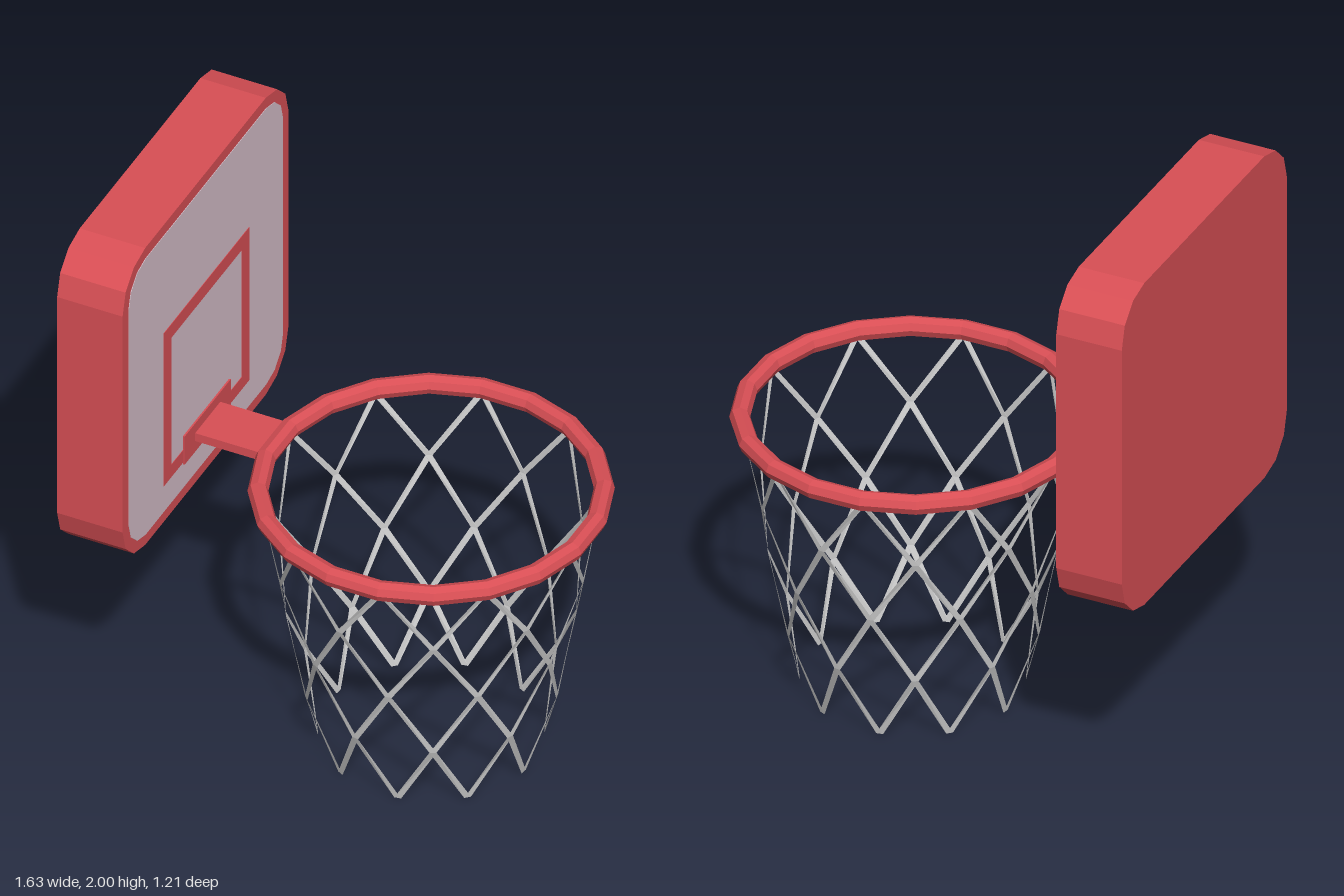
import * as THREE from 'three';

const red = new THREE.MeshStandardMaterial({ color: 0xd94f55, flatShading: true });
const glass = new THREE.MeshStandardMaterial({ color: 0xd6bfca, flatShading: true });
const cord = new THREE.MeshStandardMaterial({ color: 0xcccccc, flatShading: true, side: THREE.DoubleSide });

const HOOP_X = 0.23, HOOP_Y = 0.988;

// Rectangle centred on the origin with faceted round corners
function roundedRect(halfW, halfH, r, steps = 3) {
  const points = [];
  [[1, 1], [-1, 1], [-1, -1], [1, -1]].forEach(([sx, sy], corner) => {
    for (let i = 0; i <= steps; i++) {
      const a = (corner + i / steps) * Math.PI / 2;
      points.push(new THREE.Vector2(sx * (halfW - r) + r * Math.cos(a), sy * (halfH - r) + r * Math.sin(a)));
    }
  });
  return new THREE.Shape(points);
}

// Rectangle as a list of corners
function rect(halfW, y0, y1) {
  return [[-halfW, y0], [halfW, y0], [halfW, y1], [-halfW, y1]].map(p => new THREE.Vector2(...p));
}

// Upright slab facing +x, from x0 to x1
function slab(shape, x0, x1, y) {
  return new THREE.ExtrudeGeometry(shape, { depth: x1 - x0, bevelEnabled: false })
    .rotateY(Math.PI / 2).translate(x0, y, 0);
}

// Net: two mirrored families of flat strands winding down a tapered sleeve
function netGeometry() {
  const radii = [0.365, 0.425, 0.468, 0.513, 0.555];
  const strands = 10, step = Math.PI / strands, halfWidth = 0.0115;
  const pos = [], index = [];
  for (const dir of [1, -1]) {
    for (let s = 0; s < strands; s++) {
      const start = Math.PI / 20 + s * 2 * step;
      radii.forEach((r, k) => {
        const y = k * 0.972 / (radii.length - 1);
        for (const side of [-1, 1]) {
          const a = start + dir * k * step + side * halfWidth / r;
          pos.push(r * Math.cos(a), y, r * Math.sin(a));
        }
        const n = pos.length / 3;
        if (k > 0) index.push(n - 4, n - 2, n - 3, n - 3, n - 2, n - 1);
      });
    }
  }
  const geo = new THREE.BufferGeometry();
  geo.setAttribute('position', new THREE.Float32BufferAttribute(pos, 3));
  geo.setIndex(index);
  geo.computeVertexNormals();
  return geo.translate(HOOP_X, 0, 0);
}

export function createModel() {
  const group = new THREE.Group();
  const add = (name, geometry, material) => {
    const mesh = new THREE.Mesh(geometry, material);
    mesh.name = name;
    group.add(mesh);
  };

  // Backboard with its inset face and target square
  add('backboard', slab(roundedRect(0.605, 0.605, 0.165), -0.815, -0.58, 1.395), red);
  add('backboardPanel', slab(roundedRect(0.562, 0.562, 0.122), -0.585, -0.578, 1.395), glass);
  const square = new THREE.Shape(rect(0.312, 0.94, 1.563));
  square.holes.push(new THREE.Path(rect(0.257, 0.99, 1.508).reverse()));
  add('targetSquare', slab(square, -0.58, -0.576, 0), red);

  // Bracket plate and arm
  add('mountingPlate', slab(new THREE.Shape(rect(0.168, 0.93, 1.045)), -0.58, -0.572, 0), red);
  add('arm', new THREE.BoxGeometry(0.25, 0.032, 0.184).translate(-0.453, 0.99, 0), red);

  // Hoop
  const hoop = new THREE.TorusGeometry(0.558, 0.034, 8, 20)
    .rotateX(Math.PI / 2).rotateY(Math.PI / 20).translate(HOOP_X, HOOP_Y, 0);
  add('hoop', hoop, red);

  add('net', netGeometry(), cord);
  return group;
}
